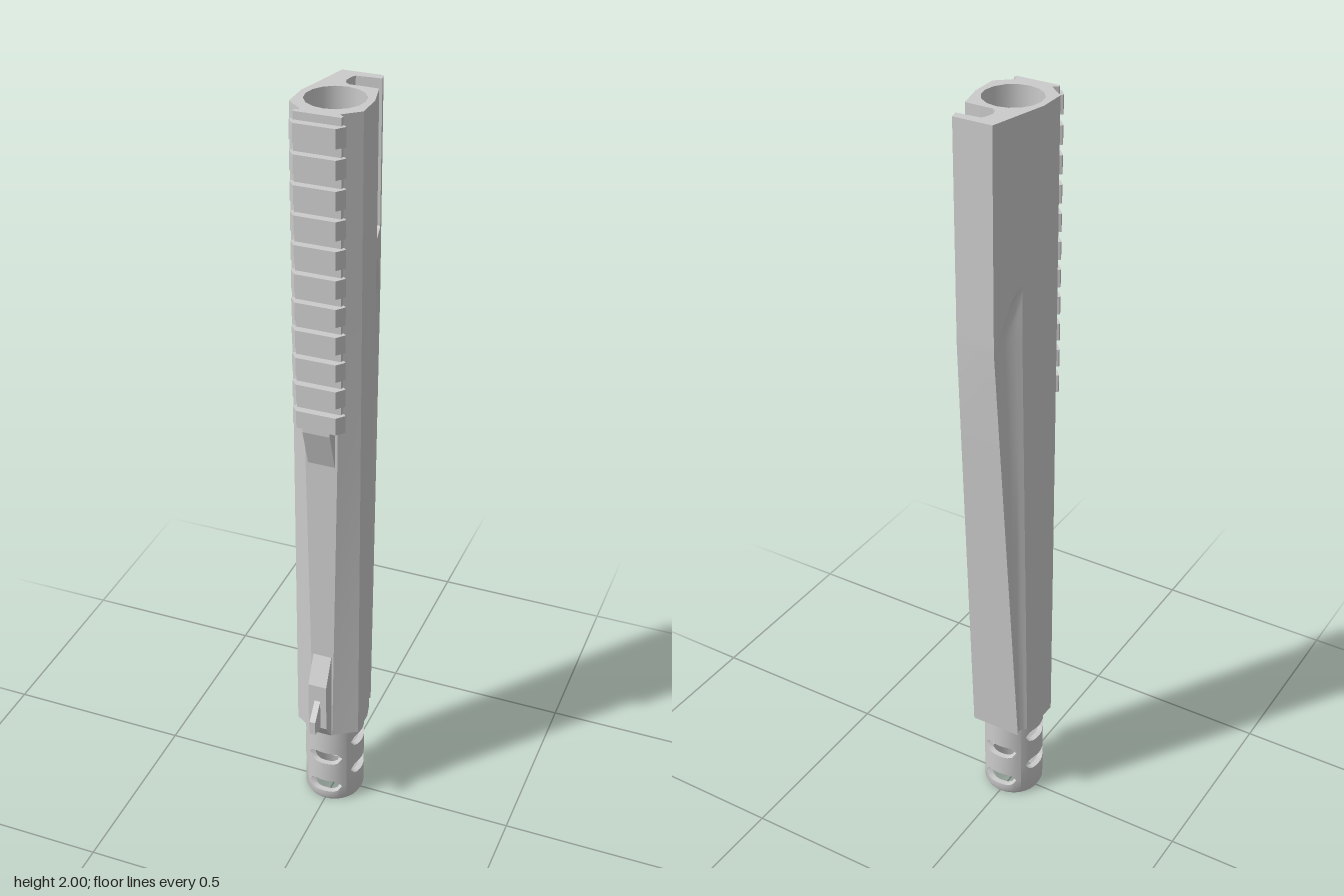
import * as THREE from 'three';
import { toCreasedNormals } from 'three/addons/utils/BufferGeometryUtils.js';

const material = new THREE.MeshStandardMaterial({ color: 0xcccccc, side: THREE.DoubleSide });
const { lerp, clamp } = THREE.MathUtils;
const vectors = pts => pts.map(p => new THREE.Vector2(p[0], p[1]));

function addPart(parent, name, geometry) {
  const mesh = new THREE.Mesh(geometry, material);
  mesh.name = name;
  parent.add(mesh);
  return mesh;
}

function fromTriangles(points, crease) {
  const g = new THREE.BufferGeometry();
  g.setAttribute('position', new THREE.Float32BufferAttribute(points.flat(), 3));
  return toCreasedNormals(g, crease);
}

const quad = (out, a, b, c, d) => out.push(a, b, c, a, c, d);

// Extrude an (x, z) outline upwards from y0 to y1
function extrudeUp(pts, y0, y1) {
  const g = new THREE.ExtrudeGeometry(new THREE.Shape(vectors(pts)), { depth: y1 - y0, bevelEnabled: false });
  return g.rotateX(Math.PI / 2).translate(0, y1, 0);
}

// Extrude a (z, y) side outline across the given width
function extrudeAcross(pts, width) {
  const g = new THREE.ExtrudeGeometry(new THREE.Shape(vectors(pts)), { depth: width, bevelEnabled: false });
  return g.rotateY(-Math.PI / 2).translate(width / 2, 0, 0);
}

const mirrored = half => [...half, ...half.map(([x, z]) => [-x, z]).reverse()];

// Half-width of the tapering rear flank at depth z
const flank = z => 0.087 - (-0.015 - z) * 0.242;
const CURVE = 8;

// One side of the body outline, from the front edge round to the back corner
function halfSection(y, slotted) {
  const t = clamp((y - 0.25) / 1.2, 0, 1);
  const zBack = lerp(-0.09, -0.168, t);
  let zStart = lerp(-0.055, -0.078, t), zEnd = zBack, depth = lerp(0.01, 0.022, t);
  if (y > 1.45) {
    const k = clamp((y - 1.45) / 0.13, 0, 1);
    zEnd = lerp(zBack, -0.105, k);
    depth *= Math.sqrt(1 - k);
  }
  if (y > 1.6) { zStart = -0.085; zEnd = -0.146; }
  const neck = lerp(0.027, 0.043, clamp((y - 0.25) / 0.95, 0, 1));
  const pts = [[neck, 0.093], [0.087, 0.055], [0.087, -0.015]];
  const deep = [[flank(zStart), zStart], [0.04, -0.086], [-0.002, -0.086], [-0.012, -0.095],
    [-0.017, -0.11], [-0.012, -0.133], [-0.007, -0.142], [0.03, -0.145], [flank(zEnd), zEnd]];
  for (let i = 0; i <= CURVE; i++) {
    const u = i / CURVE, z = lerp(zStart, zEnd, u);
    pts.push(slotted ? deep[i] : [flank(z) - depth * Math.sin(Math.PI * u), z]);
  }
  pts.push([flank(zBack), zBack]);
  return pts;
}

function bodySection(y, slotted) {
  const left = halfSection(y, slotted);
  const right = halfSection(y, false).map(([x, z]) => [-x, z]).reverse();
  return [...left, ...right];
}

function bodyGeometry() {
  const rows = [0.25, 0.55, 0.85, 1.15, 1.45, 1.49, 1.53, 1.56, 1.58, 1.6, 1.638]
    .map(y => [y, bodySection(y, false)]);
  rows.push([1.642, bodySection(1.642, true)], [2, bodySection(2, true)]);
  const out = [];
  for (let i = 0; i < rows.length - 1; i++) {
    const [y0, a] = rows[i], [y1, b] = rows[i + 1];
    a.forEach((p, j) => {
      const k = (j + 1) % a.length;
      quad(out, [p[0], y0, p[1]], [a[k][0], y0, a[k][1]], [b[k][0], y1, b[k][1]], [b[j][0], y1, b[j][1]]);
    });
  }
  return fromTriangles(out, 0.4);
}

// End face with the round bore left open
function endFace(y, slotted, radius, up) {
  const s = up ? -1 : 1;
  const shape = new THREE.Shape(vectors(bodySection(y, slotted).map(([x, z]) => [x, z * s])));
  const hole = [];
  for (let i = 0; i < 16; i++) {
    const a = i * Math.PI / 8;
    hole.push([Math.sin(a) * radius, Math.cos(a) * radius * s]);
  }
  shape.holes.push(new THREE.Path(vectors(hole)));
  return new THREE.ShapeGeometry(shape).rotateX(s * Math.PI / 2).translate(0, y, 0);
}

// Ported tube: columns of curved blocks, left open where the rounded slots fall
function muzzleGeometry() {
  const out = [], N = 40, step = Math.PI * 2 / N;
  const halfHeights = [0.019, 0.019, 0.019, 0.015, 0];
  const slotHalf = i => halfHeights[Math.min(4, Math.abs(((i + 5) % 10 + 10) % 10 - 5))];
  const at = (i, r, y) => [Math.sin(i * step) * r, y, Math.cos(i * step) * r];
  const outer = y => (y === 0 ? 0.074 : 0.08);
  for (let i = 0; i < N; i++) {
    const facing = Math.floor((i + 5) / 10) % 2;
    const centres = facing ? [0.1, 0.2] : [0.05, 0.15];
    const edges = n => {
      const h = slotHalf(n);
      return [0, 0.012, centres[0] - h, centres[0] + h, centres[1] - h, centres[1] + h, 0.255];
    };
    const e0 = edges(i), e1 = edges(i + 1);
    for (const b of [0, 1, 3, 5]) {
      const corner = (n, e, k, inner) => at(n, inner ? 0.065 : outer(e[k]), e[k]);
      const [A, B, C, D] = [corner(i, e0, b), corner(i + 1, e1, b), corner(i + 1, e1, b + 1), corner(i, e0, b + 1)];
      const [a, bb, c, d] = [corner(i, e0, b, 1), corner(i + 1, e1, b, 1), corner(i + 1, e1, b + 1, 1), corner(i, e0, b + 1, 1)];
      quad(out, A, B, C, D);
      quad(out, bb, a, d, c);
      if (b !== 1) quad(out, a, bb, B, A);
      if (b !== 0) quad(out, D, C, c, d);
    }
  }
  return fromTriangles(out, 0.6);
}

export function createModel() {
  const model = new THREE.Group();
  model.name = 'flutedBarrel';

  // Main body with side flutes and a slot in the upper left flank
  addPart(model, 'body', bodyGeometry());
  addPart(model, 'upperEndFace', endFace(2, true, 0.071, true));
  addPart(model, 'lowerEndFace', endFace(0.25, false, 0.065, false));
  const bore = new THREE.CylinderGeometry(0.071, 0.065, 1.75, 16, 1, true).translate(0, 1.125, 0);
  addPart(model, 'bore', bore);

  // Accessory rail: narrow spine plus evenly spaced dovetail teeth
  const rail = new THREE.Group();
  rail.name = 'rail';
  model.add(rail);
  addPart(rail, 'railSpine', extrudeUp(mirrored([[0.043, 0.088], [0.058, 0.1], [0.056, 0.108]]), 1.22, 2));
  const tooth = mirrored([[0.043, 0.09], [0.066, 0.104], [0.066, 0.108], [0.05, 0.127]]);
  for (let i = 0; i < 11; i++) {
    const y = 1.22 + i * 0.0715;
    addPart(rail, 'railTooth', extrudeUp(tooth, y, y + 0.046));
  }
  addPart(rail, 'railRamp', extrudeAcross([[0.088, 1.09], [0.126, 1.21], [0.126, 1.225], [0.088, 1.225]], 0.07));

  // Front sight
  const sight = new THREE.Group();
  sight.name = 'frontSight';
  model.add(sight);
  addPart(sight, 'sightBase', extrudeAcross([[0.088, 0.25], [0.096, 0.25], [0.13, 0.3], [0.13, 0.44], [0.094, 0.515], [0.088, 0.515]], 0.05));
  addPart(sight, 'sightBlade', extrudeAcross([[0.125, 0.295], [0.166, 0.305], [0.166, 0.345], [0.13, 0.39], [0.125, 0.39]], 0.016));

  // Slotted muzzle brake
  addPart(model, 'muzzleBrake', muzzleGeometry()).position.z = 0.004;
  return model;
}
